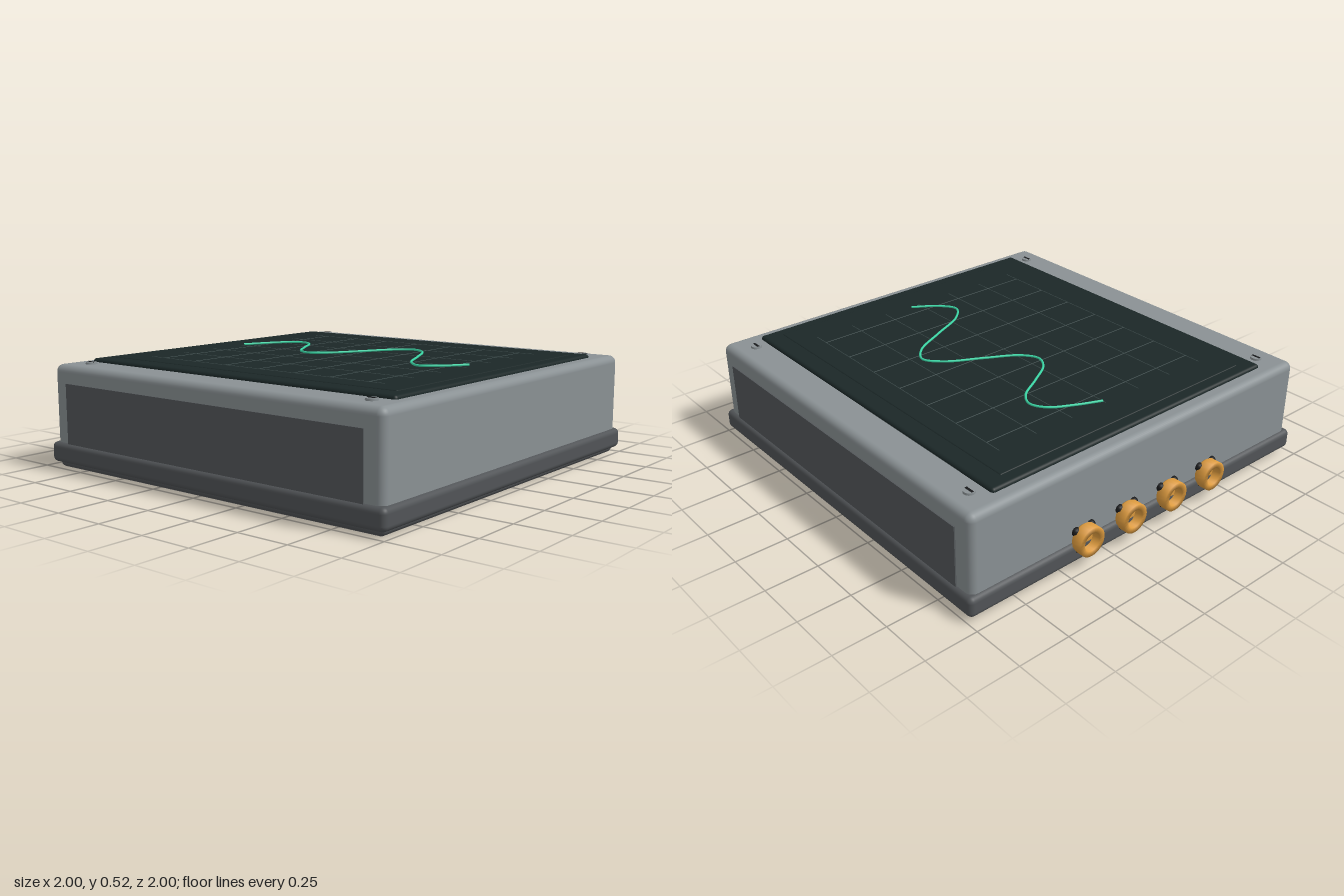
import * as THREE from 'three';
import { RoundedBoxGeometry } from 'three/addons/geometries/RoundedBoxGeometry.js';

const mat = (name, color) => {
  const m = new THREE.MeshStandardMaterial({ color });
  m.name = name;
  return m;
};

export function createModel() {
  const shell = mat('shell grey', 0x8a9194);
  const baseGrey = mat('base grey', 0x515457);
  const panelGrey = mat('panel grey', 0x53575a);
  const underside = mat('underside grey', 0x78787a);
  const screenDark = mat('screen green black', 0x1b2727);
  const gridGrey = mat('grid grey', 0x3c4b4b);
  const trace = mat('trace green', 0x3ad2a2);
  const brass = mat('brass', 0xdc9a3e);
  const black = mat('black', 0x18191b);

  const model = new THREE.Group();
  model.name = 'oscilloscope';
  const CX = 0.02; // the case sits off centre because of the sockets

  const add = (name, geometry, material, x, y, z, parent = model) => {
    const mesh = new THREE.Mesh(geometry, material);
    mesh.name = name;
    mesh.position.set(x, y, z);
    parent.add(mesh);
    return mesh;
  };
  const rounded = (name, w, y0, y1, d, r, material) =>
    add(name, new RoundedBoxGeometry(w, y1 - y0, d, 4, r), material, CX, (y0 + y1) / 2, 0);

  // Case
  rounded('bottomPlate', 1.91, 0.001, 0.1, 1.95, 0.025, baseGrey);
  add('bottomCover', new THREE.BoxGeometry(1.87, 0.004, 1.91), underside, CX, 0.002, 0);
  rounded('baseRim', 1.96, 0.025, 0.122, 2, 0.026, baseGrey);
  rounded('upperCase', 1.92, 0.06, 0.49, 1.96, 0.035, shell);

  // Front and back panels
  for (const s of [1, -1]) {
    add(s > 0 ? 'frontPanel' : 'backPanel', new THREE.BoxGeometry(1.74, 0.29, 0.008),
      panelGrey, CX, 0.26, s * 0.982);
  }

  // Screen
  rounded('screenBezel', 1.78, 0.465, 0.506, 1.62, 0.016, screenDark);
  rounded('screenGlass', 1.66, 0.49, 0.509, 1.44, 0.006, screenDark);

  // Graticule of fine round lines half sunk in the glass
  const grid = new THREE.Group();
  grid.name = 'graticule';
  model.add(grid);
  const line = (length) => new THREE.CylinderGeometry(0.002, 0.002, length, 12);
  for (let i = -3; i <= 3; i++) {
    add('gridLineAcross', line(1.38), gridGrey, CX, 0.509, i * 0.203, grid).rotation.z = Math.PI / 2;
    add('gridLineAlong', line(1.22), gridGrey, CX + i * 0.203, 0.509, 0, grid).rotation.x = Math.PI / 2;
  }

  // Waveform
  const points = [
    [-0.655, -0.005], [-0.6, -0.13], [-0.54, -0.23], [-0.47, -0.266], [-0.4, -0.23], [-0.32, -0.1],
    [-0.24, 0.02], [-0.165, 0.056], [-0.09, 0.01], [0, -0.14], [0.09, -0.3], [0.175, -0.365],
    [0.26, -0.31], [0.35, -0.14], [0.44, 0.04], [0.53, 0.11], [0.61, 0.06], [0.69, -0.055],
  ].map(([x, z]) => new THREE.Vector3(x, 0, z));
  add('waveform', new THREE.TubeGeometry(new THREE.CatmullRomCurve3(points), 240, 0.0055, 16),
    trace, 0, 0.5145, 0);

  // Slotted corner screws
  for (const x of [-0.802, 0.842]) for (const z of [-0.87, 0.87]) {
    const screw = new THREE.Group();
    screw.name = 'screw';
    screw.position.set(x, 0.49, z);
    model.add(screw);
    add('screwHead', new THREE.CylinderGeometry(0.026, 0.027, 0.014, 24), shell, 0, 0.003, 0, screw);
    add('screwSlot', new THREE.BoxGeometry(0.044, 0.002, 0.011), black, 0, 0.0105, 0, screw);
  }

  // Row of hollow brass sockets on the right-hand side of the case
  const ringProfile = [
    [0.043, 0], [0.06, 0], [0.07, 0.012], [0.07, 0.06], [0.043, 0.06], [0.043, 0],
  ].map(([r, y]) => new THREE.Vector2(r, y));
  for (let i = 0; i < 4; i++) {
    const socket = new THREE.Group();
    socket.name = 'socket';
    socket.position.set(-0.94, 0.13, -0.385 + i * 0.255);
    socket.rotation.z = Math.PI / 2; // local +y points out of the case
    model.add(socket);
    add('socketRing', new THREE.LatheGeometry(ringProfile, 24), brass, 0, 0, 0, socket);
    add('socketCore', new THREE.CylinderGeometry(0.044, 0.044, 0.02, 24), brass, 0, 0.008, 0, socket);
    // Dark lugs around the root of the ring
    for (let k = 0; k < 4; k++) {
      const a = Math.PI / 4 + k * Math.PI / 2;
      add('socketLug', new THREE.SphereGeometry(0.021, 14, 10), black,
        Math.cos(a) * 0.06, 0.003, Math.sin(a) * 0.06, socket);
    }
  }
  return model;
}
